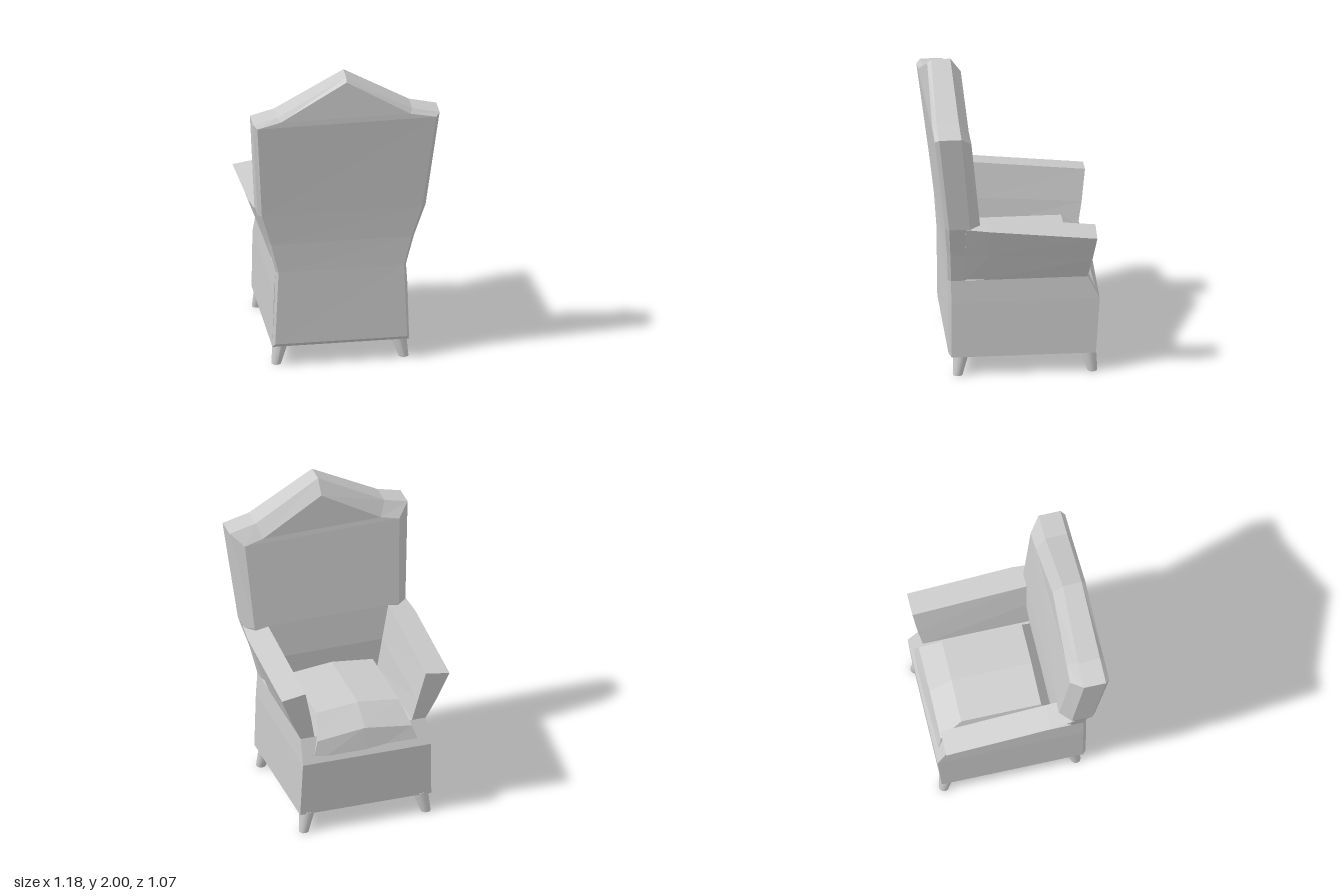
import * as THREE from 'three';

const material = new THREE.MeshStandardMaterial({ color: 0xcccccc, flatShading: true });
const CX = -0.02; // the lower body sits slightly off centre

// Skin a list of rings (counter-clockwise seen from the last ring) and close both ends
function loft(name, rings) {
  const n = rings[0].length;
  const index = [];
  rings.forEach((_, k) => {
    if (k === rings.length - 1) return;
    for (let i = 0; i < n; i++) {
      const a = k * n + i, b = k * n + (i + 1) % n;
      index.push(a, b, b + n, a, b + n, a + n);
    }
  });
  // caps: strips between facing points of the ring
  const cap = (base, flip) => {
    const tri = (a, b, c) => index.push(base + a, base + (flip ? c : b), base + (flip ? b : c));
    for (let i = 0; i < n - 2 - i; i++) {
      const j = n - 1 - i;
      tri(i, i + 1, j);
      if (i + 1 < j - 1) tri(i + 1, j - 1, j);
    }
  };
  cap(0, true);
  cap((rings.length - 1) * n, false);
  const indexed = new THREE.BufferGeometry();
  indexed.setAttribute('position', new THREE.Float32BufferAttribute(rings.flat(2), 3));
  indexed.setIndex(index);
  const geometry = indexed.toNonIndexed();
  geometry.computeVertexNormals();
  const mesh = new THREE.Mesh(geometry, material);
  mesh.name = name;
  return mesh;
}

// Upholstered box under the seat: [y, half width, front z]
function createBase() {
  const sections = [[0.13, 0.43, -0.5], [0.5, 0.42, -0.525], [0.65, 0.41, -0.45]];
  return loft('base', sections.map(([y, w, zf]) => [
    [CX + w, y, 0.4], [CX + w, y, zf], [CX - w, y, zf], [CX - w, y, 0.4],
  ]));
}

// Domed seat cushion: [side y, middle y, half width, front z, back z]
function createCushion() {
  const sections = [
    [0.48, 0.48, 0.36, -0.52, 0.25],
    [0.63, 0.67, 0.31, -0.48, 0.24],
    [0.75, 0.78, 0.27, -0.34, 0.17],
  ];
  return loft('seatCushion', sections.map(([ys, ym, w, zf, zb]) => [
    [CX + w, ys, zf], [CX, ym, zf], [CX - w, ys, zf],
    [CX - w, ys, zb], [CX, ym, zb], [CX + w, ys, zb],
  ].map(([x, y, z]) => [x, y, z]).reverse().map((_, i, r) => r[(r.length - 1) - i])));
}

// Flared arm: [outer x, inner x, front z, outer front y, outer back y, inner front y, inner back y]
function createArm(side) {
  const sections = [
    [0.38, 0.32, -0.42, 0.52, 0.52, 0.52, 0.52],
    [0.41, 0.32, -0.45, 0.65, 0.65, 0.65, 0.65],
    [0.48, 0.35, -0.475, 0.8, 0.86, 0.8, 0.86],
    [0.55, 0.395, -0.5, 0.975, 1.06, 1.0, 1.085],
  ];
  const rings = sections.map(([xo, xi, zf, yof, yob, yif, yib]) => {
    const ring = [
      [xo - 0.015, yob, 0.32], [xo, yof + (yob - yof) * 0.84, 0.17], [xo, yof, zf],
      [xi, yif, zf], [xi, yif + (yib - yif) * 0.84, 0.17], [xi, yib, 0.32],
    ].map(([x, y, z]) => [CX + side * x, y, z]);
    return side > 0 ? ring : ring.reverse();
  });
  return loft(side > 0 ? 'leftArm' : 'rightArm', rings);
}

// Winged, pointed back with chamfered rims.
// Each row from the bottom up: [half width, y, centre x]
function createBackrest() {
  const outer = [
    [0.43, 0.13, CX], [0.41, 0.65, CX], [0.46, 0.85, CX], [0.53, 1.06, CX],
    [0.588, 1.72, 0], [0.425, 1.76, -0.01], [0, 2, 0],
  ];
  const rearRim = [
    [0.415, 0.155, CX], [0.395, 0.65, CX], [0.443, 0.85, CX], [0.505, 1.06, CX],
    [0.565, 1.7, 0], [0.41, 1.735, -0.01], [0, 1.975, 0],
  ];
  const frontRim = [
    [0.38, 0.16, CX], [0.36, 0.65, CX], [0.4, 0.85, CX], [0.475, 1.08, -0.01],
    [0.51, 1.65, 0], [0.39, 1.68, 0], [0, 1.91, 0],
  ];
  // depth of every row, per layer from front to rear
  const layers = [
    [frontRim, [0.3, 0.23, 0.22, 0.235, 0.295, 0.3, 0.31]],
    [outer, [0.36, 0.33, 0.31, 0.3, 0.365, 0.365, 0.375]],
    [outer, [0.4, 0.405, 0.415, 0.43, 0.505, 0.505, 0.495]],
    [rearRim, [0.42, 0.425, 0.435, 0.455, 0.53, 0.53, 0.52]],
  ];
  return loft('backrest', layers.map(([rows, depth]) => {
    const point = (i, s) => {
      const [w, y, c] = rows[i];
      const x = c + s * w;
      return [x, y, depth[i] - 0.02 * x * Math.min(1, y / 1.7)];
    };
    const right = rows.map((_, i) => point(i, 1));
    const left = rows.slice(0, -1).map((_, i) => point(i, -1)).reverse();
    return [...right, ...left];
  }));
}

// Tapered round leg, splayed outwards towards the floor
function createLeg(name, side, zTop, zFoot) {
  const geometry = new THREE.CylinderGeometry(0.05, 0.031, 0.14, 16);
  const p = geometry.attributes.position;
  for (let i = 0; i < p.count; i++) {
    const t = 0.5 - p.getY(i) / 0.14;
    p.setX(i, p.getX(i) + CX + side * (0.37 + 0.03 * t));
    p.setZ(i, p.getZ(i) + zTop + (zFoot - zTop) * t);
  }
  geometry.translate(0, 0.07, 0);
  geometry.computeVertexNormals();
  const leg = new THREE.Mesh(geometry, new THREE.MeshStandardMaterial({ color: 0xcccccc }));
  leg.name = name;
  return leg;
}

export function createModel() {
  const chair = new THREE.Group();
  chair.name = 'wingArmchair';
  chair.add(createBase(), createCushion(), createBackrest());
  for (const side of [1, -1]) {
    const label = side > 0 ? 'left' : 'right';
    chair.add(
      createArm(side),
      createLeg(label + 'SeatLeg', side, -0.455, -0.48),
      createLeg(label + 'BackLeg', side, 0.335, 0.36),
    );
  }
  return chair;
}
